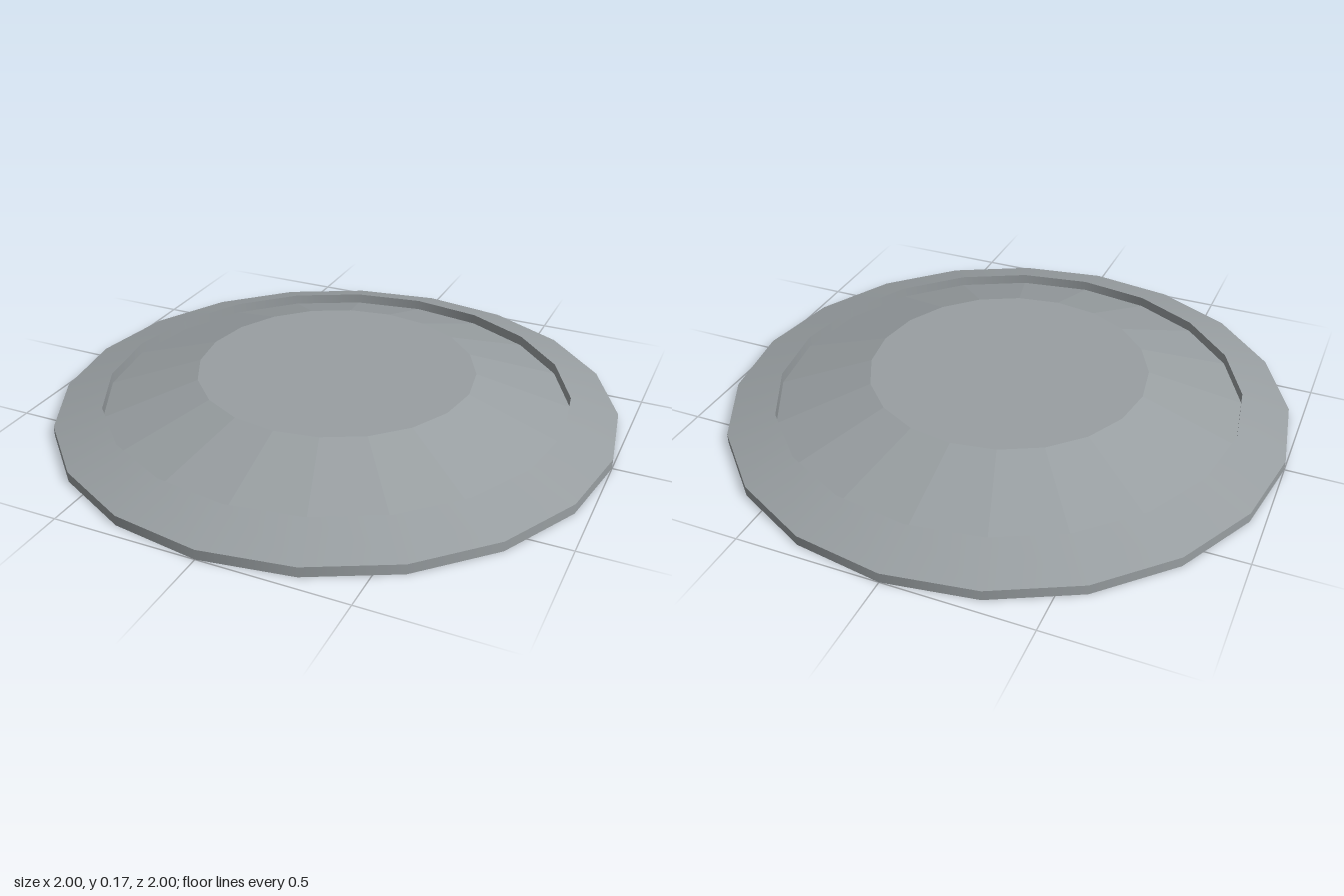
import * as THREE from 'three';

const SIDES = 20;

export function createModel() {
  const group = new THREE.Group();
  const metal = new THREE.MeshStandardMaterial({ color: 0x999fa2 });
  metal.name = 'grey metal';

  // One ring of the turned profile; separate rings keep the edges between them sharp
  function ring(name, r0, y0, r1, y1, faceted = false) {
    let geometry = new THREE.LatheGeometry(
      [new THREE.Vector2(r0, y0), new THREE.Vector2(r1, y1)], SIDES);
    if (faceted) {
      geometry = geometry.toNonIndexed();
      geometry.computeVertexNormals();
    }
    const mesh = new THREE.Mesh(geometry, metal);
    mesh.name = name;
    group.add(mesh);
  }

  // Profile runs from the centre of the base, out over the rim and back in to the dome
  ring('base', 0, 0, 1, 0);
  ring('outerEdge', 1, 0, 1, 0.035);
  ring('slopedRim', 1, 0.035, 0.83, 0.09);
  ring('innerLip', 0.83, 0.09, 0.83, 0.053);
  ring('domeSlope', 0.83, 0.053, 0.495, 0.166, true);
  ring('domeTop', 0.495, 0.166, 0, 0.166);

  return group;
}
